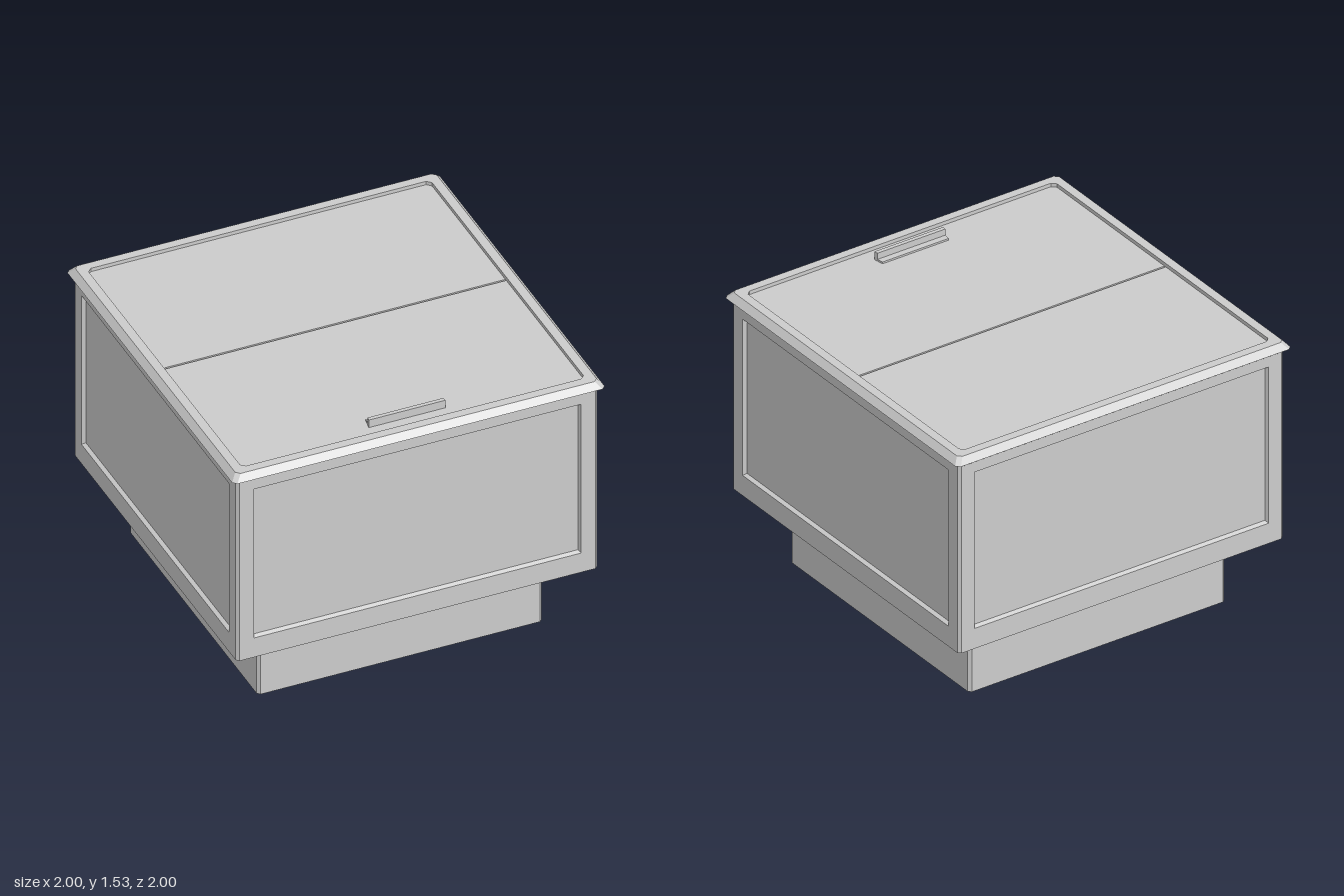
import * as THREE from 'three';

const material = new THREE.MeshStandardMaterial({ color: 0xcccccc, flatShading: true });

function add(parent, name, geometry) {
  const mesh = new THREE.Mesh(geometry, material);
  mesh.name = name;
  parent.add(mesh);
  return mesh;
}

// Upright prism: plan points [x, z] extruded from y0 to y1
function prism(points, y0, y1) {
  const shape = new THREE.Shape(points.map(([x, z]) => new THREE.Vector2(x, -z)));
  return new THREE.ExtrudeGeometry(shape, { depth: y1 - y0, bevelEnabled: false })
    .rotateX(-Math.PI / 2).translate(0, y0, 0);
}

// Repeat one corner's plan points around the four corners
function fourCorners(corner) {
  const points = [];
  for (let k = 0; k < 4; k++) {
    for (let [x, z] of corner) {
      for (let n = 0; n < k; n++) [x, z] = [-z, x];
      points.push([x, z]);
    }
  }
  return points;
}

const chamferedSquare = (h, c) => fourCorners([[h, h - c], [h - c, h]]);

// Skin a series of chamfered squares [half size, chamfer, y]
function loft(rings) {
  const loops = rings.map(([h, c, y]) => chamferedSquare(h, c).map(([x, z]) => [x, y, z]));
  const pos = [];
  for (let r = 0; r + 1 < loops.length; r++) {
    const a = loops[r], b = loops[r + 1];
    for (let i = 0; i < a.length; i++) {
      const j = (i + 1) % a.length;
      pos.push(...a[i], ...b[i], ...b[j], ...a[i], ...b[j], ...a[j]);
    }
  }
  const g = new THREE.BufferGeometry();
  g.setAttribute('position', new THREE.Float32BufferAttribute(pos, 3));
  g.computeVertexNormals();
  return g;
}

export function createModel() {
  const model = new THREE.Group();
  model.name = 'storageBox';

  // Plinth
  add(model, 'plinth', prism(chamferedSquare(0.765, 0.015), 0, 0.39));

  // Body core with corner posts; the notches between posts form the side panels
  const panel = 0.95, face = 0.97;
  add(model, 'body', prism(fourCorners([
    [panel, 0.87], [face, 0.878], [face, 0.955], [0.955, face], [0.878, face], [0.87, panel],
  ]), 0.39, 1.46));

  // Rails above and below each panel; the lower one has a sloping sill
  const rails = {
    lowerRail: [[0.94, 0.39], [face, 0.39], [face, 0.505], [panel, 0.515], [0.94, 0.515]],
    upperRail: [[0.94, 1.395], [face, 1.395], [face, 1.46], [0.94, 1.46]],
  };
  for (let k = 0; k < 4; k++) {
    const side = new THREE.Group();
    side.name = ['front', 'left', 'back', 'right'][k] + 'Rails';
    side.rotation.y = k * Math.PI / 2;
    for (const [name, profile] of Object.entries(rails)) {
      const shape = new THREE.Shape(profile.map(([x, y]) => new THREE.Vector2(x, y)));
      add(side, name, new THREE.ExtrudeGeometry(shape, { depth: 1.756, bevelEnabled: false })
        .translate(0, 0, -0.878).rotateY(-Math.PI / 2));
    }
    model.add(side);
  }

  // Bevelled rim around the top
  add(model, 'rim', loft([
    [0.94, 0.015, 1.46], [0.98, 0.02, 1.46], [1, 0.02, 1.475],
    [0.97, 0.02, 1.51], [0.922, 0.022, 1.51], [0.922, 0.022, 1.46],
  ]));

  // Two lid panels, separated by a narrow groove
  const h = 0.922, c = 0.022;
  const lidPanel = (edge, sign) => {
    const pts = [[h, edge], [h, sign * (h - c)], [h - c, sign * h],
      [c - h, sign * h], [-h, sign * (h - c)], [-h, edge]];
    return prism(pts, 1.47, 1.49);
  };
  add(model, 'frontLid', lidPanel(-0.018, 1));
  add(model, 'backLid', lidPanel(-0.028, -1));
  add(model, 'lidGrooveFloor', new THREE.BoxGeometry(1.84, 0.02, 0.04).translate(0, 1.468, -0.023));

  // Handle: flat tapered plate with an upright lip
  const handle = new THREE.Group();
  handle.name = 'handle';
  add(handle, 'handlePlate', prism([[-0.197, 0.79], [0.197, 0.79], [0.203, 0.83], [-0.203, 0.83]], 1.485, 1.5));
  add(handle, 'handleLip', prism([[-0.203, 0.825], [0.203, 0.825], [0.206, 0.847], [-0.206, 0.847]], 1.485, 1.535));
  model.add(handle);

  return model;
}
